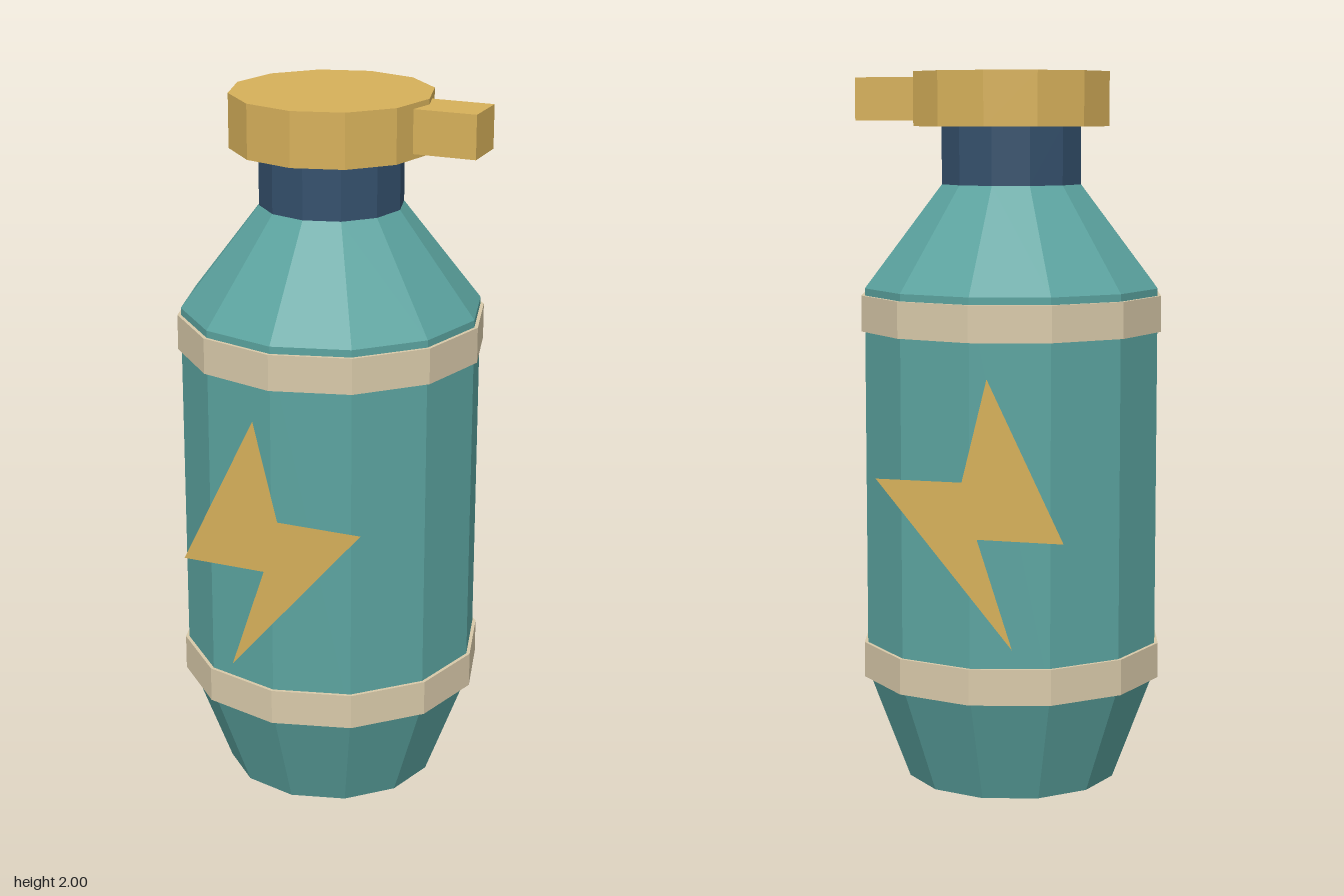
import * as THREE from 'three';

const SIDES = 12;

export function createModel() {
  const model = new THREE.Group();
  model.name = 'bottle';

  const material = (name, color, side = THREE.FrontSide) => {
    const m = new THREE.MeshStandardMaterial({ color, flatShading: true, side });
    m.name = name;
    return m;
  };
  const teal = material('teal', 0x5ba39f);
  const gold = material('gold', 0xd6b05a, THREE.DoubleSide);
  const cream = material('cream', 0xd8c9a9);
  const navy = material('navy', 0x34506c);

  const add = (name, geometry, mat, x = 0, y = 0, z = 0) => {
    const mesh = new THREE.Mesh(geometry, mat);
    mesh.name = name;
    mesh.position.set(x, y, z);
    model.add(mesh);
    return mesh;
  };
  // Twelve-sided disc between two heights
  const drum = (name, radius, y0, y1, mat) =>
    add(name, new THREE.CylinderGeometry(radius, radius, y1 - y0, SIDES), mat, 0, (y0 + y1) / 2);

  // Body: tapered base, straight wall, sloping shoulder
  const profile = [[0, 0], [0.3, 0], [0.42, 0.32], [0.42, 1.405], [0.2, 1.69], [0, 1.69]]
    .map(([r, y]) => new THREE.Vector2(r, y));
  add('body', new THREE.LatheGeometry(profile, SIDES), teal);

  // Bands around the wall
  drum('lowerBand', 0.43, 0.3, 0.4, cream);
  drum('upperBand', 0.43, 1.285, 1.385, cream);

  // Neck, cap and side tab
  drum('neck', 0.2, 1.69, 1.85, navy);
  drum('cap', 0.28, 1.85, 2, gold);
  add('capTab', new THREE.BoxGeometry(0.19, 0.12, 0.14), gold, 0.342, 1.925, 0);

  // Flat lightning bolts, front and back
  const bolt = new THREE.Shape([
    [-0.05, 1.19], [-0.262, 0.757], [-0.022, 0.757], [-0.12, 0.46], [0.262, 0.91], [0.02, 0.91],
  ].map(([x, y]) => new THREE.Vector2(x, y)));
  add('frontBolt', new THREE.ShapeGeometry(bolt), gold, 0, 0, 0.425);
  add('backBolt', new THREE.ShapeGeometry(bolt), gold, 0, 0, -0.425);

  // Centre the bottle including its tab
  model.children.forEach((part) => { part.position.x -= 0.003; });
  return model;
}
